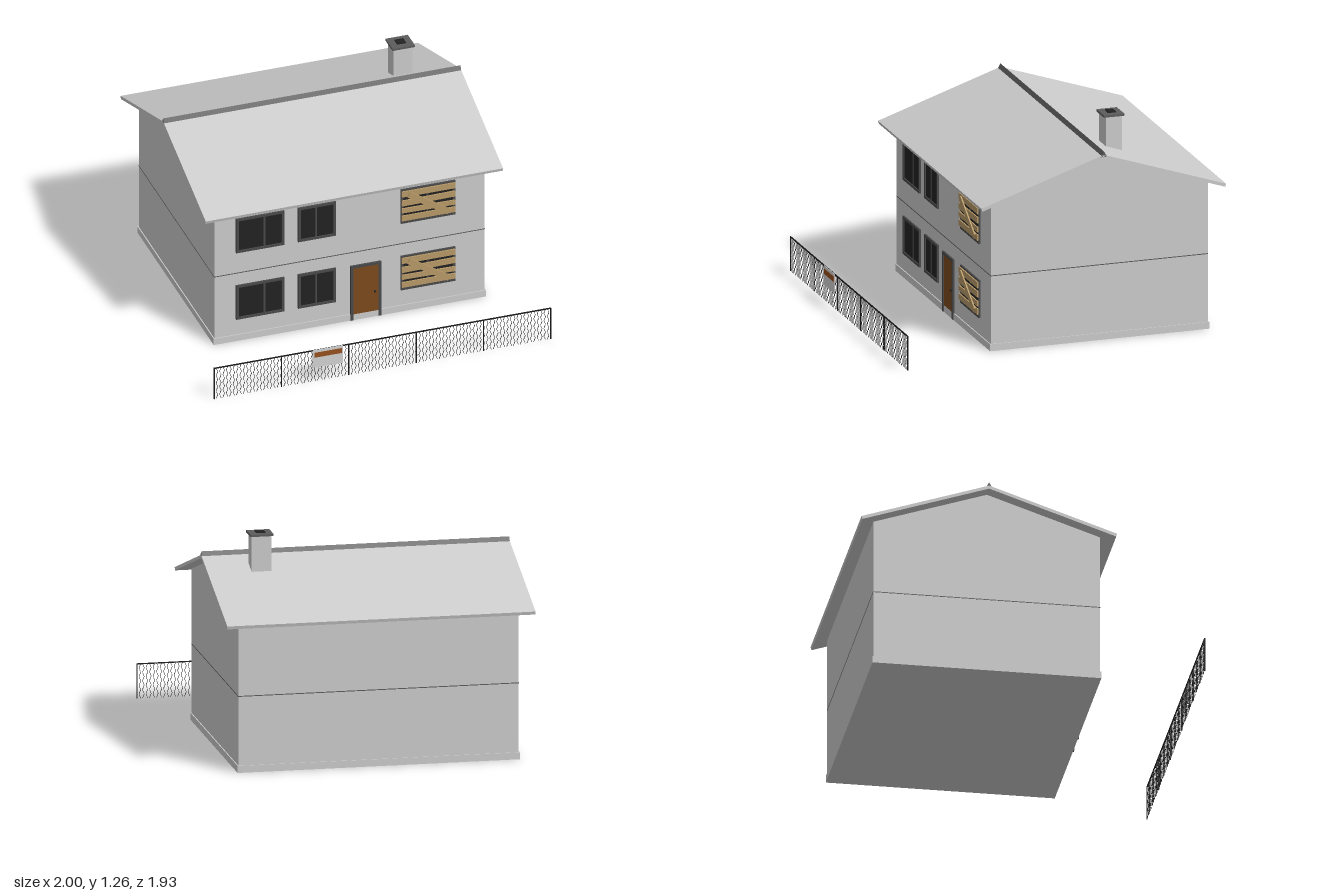
import * as THREE from 'three';
import { mergeGeometries } from 'three/addons/utils/BufferGeometryUtils.js';

const mat = (name, color) => {
  const m = new THREE.MeshStandardMaterial({ color });
  m.name = name;
  return m;
};

export function createModel() {
  const model = new THREE.Group();
  model.name = 'house';
  const wall = mat('wall grey', 0xcccccc);
  const frame = mat('frame grey', 0x4a4a4a);
  const trim = mat('dark grey trim', 0x5c5c5c);
  const glass = mat('dark glass', 0x222222);
  const wood = mat('door brown', 0x7d4a1c);
  const plank = mat('plank tan', 0xb89a68);
  const metal = mat('fence black', 0x1a1a1a);
  const signWhite = mat('sign white', 0xd2d2d2);
  const signBrown = mat('sign rust', 0x96501e);

  const add = (parent, name, geo, material) => {
    const m = new THREE.Mesh(geo, material);
    m.name = name;
    parent.add(m);
    return m;
  };
  // Box given by its extents on each axis
  const boxGeo = (x0, x1, y0, y1, z0, z1) =>
    new THREE.BoxGeometry(x1 - x0, y1 - y0, z1 - z0)
      .translate((x0 + x1) / 2, (y0 + y1) / 2, (z0 + z1) / 2);
  const box = (parent, name, material, ...e) => add(parent, name, boxGeo(...e), material);
  // Profile of [z, y] points swept along x, centred
  const sweep = (points, width) =>
    new THREE.ExtrudeGeometry(new THREE.Shape(points.map(p => new THREE.Vector2(...p))),
      { depth: width, bevelEnabled: false })
      .rotateY(-Math.PI / 2).translate(width / 2, 0, 0);

  // Walls, plinth and floor joint
  const F = 0.4, B = -0.885, R = -0.242;
  add(model, 'walls', sweep([[B, 0], [F, 0], [F, 0.87], [R, 1.085], [B, 0.87]], 1.6), wall);
  box(model, 'plinth', wall, -0.806, 0.806, 0, 0.04, B - 0.006, F + 0.006);
  box(model, 'floorJoint', trim, -0.801, 0.801, 0.436, 0.441, B - 0.001, F + 0.001);

  // Roof slabs and ridge cap
  add(model, 'roof', sweep([[0.478, 0.845], [0.483, 0.863], [R, 1.105], [-0.965, 0.863],
    [-0.96, 0.845], [R, 1.086]], 1.76), wall);
  add(model, 'ridgeCap', sweep([[R - 0.02, 1.09], [R + 0.02, 1.09], [R, 1.125]], 1.76), trim);

  // Chimney
  const chimney = new THREE.Group();
  chimney.name = 'chimney';
  model.add(chimney);
  box(chimney, 'chimneyStack', wall, 0.517, 0.631, 1.0, 1.243, -0.435, -0.34);
  box(chimney, 'chimneyCap', trim, 0.508, 0.64, 1.243, 1.255, -0.447, -0.326);
  box(chimney, 'flue', glass, 0.548, 0.6, 1.255, 1.262, -0.41, -0.364);

  // Four bars around an opening
  const frameGeo = (x0, x1, y0, y1, t, z0, z1) => mergeGeometries([
    boxGeo(x0, x0 + t, y0, y1, z0, z1),
    boxGeo(x1 - t, x1, y0, y1, z0, z1),
    boxGeo(x0 + t, x1 - t, y0, y0 + t, z0, z1),
    boxGeo(x0 + t, x1 - t, y1 - t, y1, z0, z1),
  ]);

  // Windows on both floors; the right-hand pair is boarded up
  const windows = [
    { x0: -0.674, x1: -0.388, bar: -0.506 },
    { x0: -0.307, x1: -0.083, bar: -0.2 },
    { x0: 0.302, x1: 0.623, bar: 0.46, boarded: true },
  ];
  for (const y0 of [0.14, 0.573]) {
    for (const { x0, x1, bar, boarded } of windows) {
      const y1 = y0 + 0.221;
      const win = new THREE.Group();
      win.name = boarded ? 'boardedWindow' : 'window';
      model.add(win);
      box(win, 'pane', glass, x0 + 0.005, x1 - 0.005, y0 + 0.005, y1 - 0.005, F, F + 0.004);
      add(win, 'windowFrame', frameGeo(x0, x1, y0, y1, 0.015, F, F + 0.01), frame);
      box(win, 'mullion', frame, bar - 0.005, bar + 0.005, y0 + 0.015, y1 - 0.015, F, F + 0.007);
      if (!boarded) continue;
      const cx = (x0 + x1) / 2;
      for (const [dy, h, tilt] of [[0.193, 0.036, 0], [0.137, 0.036, 0.015],
        [0.085, 0.03, -0.012], [0.037, 0.034, 0]]) {
        const p = add(win, 'plank', new THREE.BoxGeometry(0.315, h, 0.008), plank);
        p.position.set(cx, y0 + dy, F + 0.014);
        p.rotation.z = tilt;
      }
      const d = add(win, 'diagonalPlank', new THREE.BoxGeometry(0.285, 0.036, 0.008), plank);
      d.position.set(cx, y0 + 0.112, F + 0.022);
      d.rotation.z = -0.58;
    }
  }

  // Door with frame and handle
  const door = new THREE.Group();
  door.name = 'door';
  model.add(door);
  box(door, 'doorLeaf', wood, 0.018, 0.17, 0.037, 0.342, F, F + 0.006);
  for (const x of [0.003, 0.168]) box(door, 'doorJamb', frame, x, x + 0.017, 0.002, 0.354, F, F + 0.012);
  box(door, 'doorHead', frame, 0.02, 0.168, 0.338, 0.354, F, F + 0.012);
  const knob = add(door, 'doorHandle', new THREE.SphereGeometry(0.007, 12, 8), metal);
  knob.position.set(0.148, 0.165, F + 0.009);

  // Fence: posts, top rail and chain-link wires
  const fence = new THREE.Group();
  fence.name = 'fence';
  model.add(fence);
  const Z = 0.96;
  for (let i = 0; i < 6; i++) {
    const post = add(fence, 'fencePost', new THREE.CylinderGeometry(0.004, 0.004, 0.2, 8), metal);
    post.position.set(-0.996 + i * 0.3984, 0.1, Z);
  }
  box(fence, 'topRail', metal, -0.998, 0.998, 0.196, 0.202, Z - 0.003, Z + 0.003);
  const wires = [];
  const pitch = 0.02, rise = 0.025, tilt = Math.atan2(pitch / 2, rise);
  for (let i = 0; i < 99; i++) {
    for (let j = 0; j < 8; j++) {
      const s = (i + j) % 2 ? 1 : -1;
      wires.push(new THREE.BoxGeometry(0.0022, Math.hypot(pitch / 2, rise), 0.0022)
        .rotateZ(s * tilt)
        .translate((i - 49) * pitch, (j + 0.5) * rise, Z));
    }
  }
  add(fence, 'chainLink', mergeGeometries(wires), metal);

  // Blank notice board hung on the fence
  box(fence, 'sign', signWhite, -0.414, -0.235, 0.09, 0.203, Z + 0.002, Z + 0.006);
  box(fence, 'signStripe', signBrown, -0.404, -0.243, 0.156, 0.187, Z + 0.006, Z + 0.008);

  return model;
}
